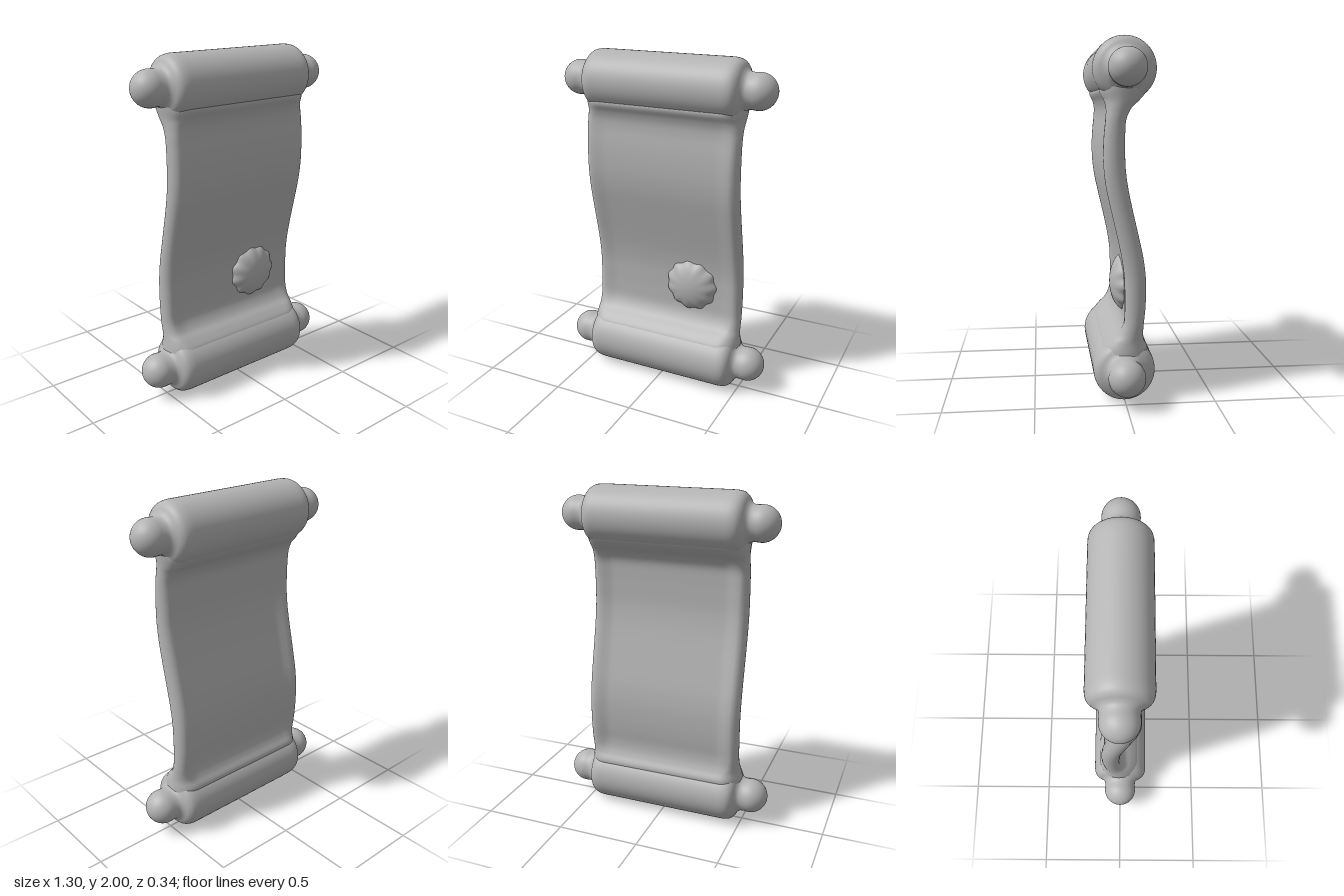
import * as THREE from 'three';

const smooth = THREE.MathUtils.smoothstep;

// Closed tube-like surface from equal-length loops of points, with flat-fan free open ends
function loft(loops) {
  const n = loops[0].length;
  const index = [];
  for (let r = 0; r < loops.length - 1; r++) {
    for (let i = 0; i < n; i++) {
      const a = r * n + i, b = r * n + (i + 1) % n;
      index.push(a, b, a + n, b, b + n, a + n);
    }
  }
  const geometry = new THREE.BufferGeometry();
  geometry.setAttribute('position', new THREE.Float32BufferAttribute(loops.flat(2), 3));
  geometry.setIndex(index);
  geometry.computeVertexNormals();
  return geometry;
}

// Rounded rod with a ball knob on each end, turned around x
function rollerGeometry() {
  const half = [];
  for (let i = 0; i <= 12; i++) {
    const a = (i / 12) * Math.PI * 0.5;
    half.push(new THREE.Vector2(0.102 * Math.sin(a), 0.55 + 0.102 * Math.cos(a)));
  }
  const shoulder = new THREE.SplineCurve([
    [0.102, 0.55], [0.1, 0.515], [0.105, 0.492], [0.122, 0.476],
    [0.145, 0.463], [0.163, 0.442], [0.171, 0.41], [0.172, 0.37],
  ].map(([r, x]) => new THREE.Vector2(r, x)));
  half.push(...shoulder.getPoints(24).slice(1));
  const mirrored = half.map(p => new THREE.Vector2(p.x, -p.y));
  return new THREE.LatheGeometry([...mirrored, ...half.reverse()], 48).rotateZ(Math.PI / 2);
}

// Lower half of the wavy sheet: y, front z, back z, half width
const LOWER = [
  [0.17, 0.07, -0.07, 0.49], [0.24, 0.1, -0.11, 0.495], [0.29, 0.118, -0.133, 0.49],
  [0.34, 0.08, -0.112, 0.483], [0.38, 0.035, -0.103, 0.48], [0.44, 0.006, -0.105, 0.48],
  [0.52, 0, -0.113, 0.48], [0.6, 0, -0.117, 0.48], [0.7, 0.003, -0.115, 0.48],
  [0.8, 0.016, -0.103, 0.48], [0.9, 0.036, -0.082, 0.48],
];

function sheetGeometry() {
  // The upper half is the lower one turned half a circle
  const upper = LOWER.map(([y, f, b, w]) => [2 - y, -b, -f, w]).reverse();
  const rows = [...LOWER, [1, 0.059, -0.059, 0.48], ...upper];
  const edge = k => new THREE.CatmullRomCurve3(rows.map(r => new THREE.Vector3(r[3], r[0], r[k])));
  const front = edge(1), back = edge(2);
  const loops = [];
  for (let s = 0; s <= 110; s++) {
    const f = front.getPoint(s / 110), b = back.getPoint(s / 110);
    const mid = (f.z + b.z) / 2, t = (f.z - b.z) / 2, w = f.x;
    const flat = w - t * 0.85;
    const fade = smooth(f.y, 0.3, 0.45) * (1 - smooth(f.y, 1.55, 1.7));
    const loop = [];
    for (const side of [1, -1]) {
      // Face, slightly sunken inside a soft rim
      for (let i = 0; i < 30; i++) {
        const x = side * flat * (-1 + (2 * i) / 30);
        const sink = fade * smooth(w - Math.abs(x), 0.06, 0.12) * (side > 0 ? 0.008 : 0.016);
        loop.push([x, f.y, mid + side * (t - sink)]);
      }
      // Rounded edge
      for (let i = 0; i < 12; i++) {
        const a = (i / 12) * Math.PI;
        loop.push([side * (flat + (w - flat) * Math.sin(a)), f.y, mid + side * t * Math.cos(a)]);
      }
    }
    loops.push(loop);
  }
  return loft(loops);
}

// Low dome with a scalloped rim
function sealGeometry() {
  const loops = [];
  for (let r = 0; r <= 16; r++) {
    const a = (r / 16) * Math.PI * 0.5;
    const loop = [];
    for (let i = 0; i < 88; i++) {
      const u = (i / 88) * Math.PI * 2;
      const wave = 1 + 0.04 * Math.cos(11 * u) * Math.cos(a) ** 2;
      const radius = 0.16 * wave * Math.max(Math.cos(a), 0.0001);
      loop.push([radius * Math.cos(u), radius * Math.sin(u), 0.082 * Math.sin(a)]);
    }
    loops.push(loop);
  }
  return loft(loops);
}

export function createModel() {
  const model = new THREE.Group();
  model.name = 'scroll';
  const grey = new THREE.MeshStandardMaterial({ color: 0xb4b4b4 });
  grey.name = 'plain grey';

  const add = (name, geometry, x, y, z) => {
    const mesh = new THREE.Mesh(geometry, grey);
    mesh.name = name;
    mesh.position.set(x, y, z);
    model.add(mesh);
  };

  const roller = rollerGeometry();
  add('topRoller', roller, 0, 1.828, 0);
  add('bottomRoller', roller, 0, 0.172, 0);
  add('sheet', sheetGeometry(), 0, 0, 0);
  add('seal', sealGeometry(), 0.17, 0.62, -0.022);
  return model;
}
